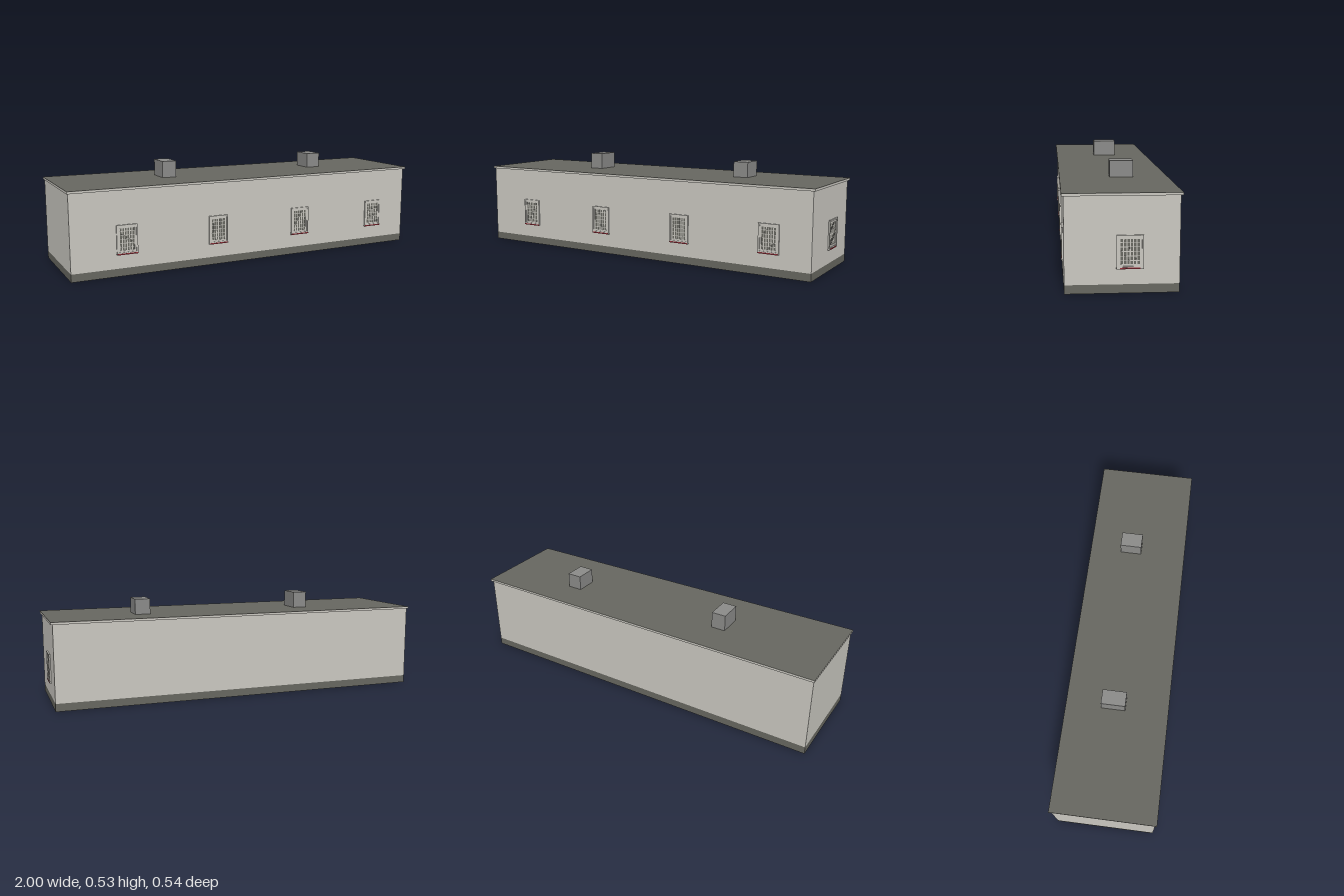
import * as THREE from 'three';

const mat = (name, color, side = THREE.FrontSide) => {
  const m = new THREE.MeshStandardMaterial({ color, side });
  m.name = name;
  return m;
};

export function createModel() {
  const plaster = mat('plaster', 0xcac8c1, THREE.DoubleSide);
  const darkGrey = mat('darkGrey', 0x676760, THREE.DoubleSide);
  const chimneyGrey = mat('chimneyGrey', 0x8b8b89);
  const red = mat('sillRed', 0x96303a);

  const model = new THREE.Group();
  model.name = 'longBuilding';

  const add = (parent, name, geometry, material, x = 0, y = 0, z = 0) => {
    const mesh = new THREE.Mesh(geometry, material);
    mesh.name = name;
    mesh.position.set(x, y, z);
    parent.add(mesh);
    return mesh;
  };
  const box = (w, h, d) => new THREE.BoxGeometry(w, h, d);

  // Plan corners [x, z]; the front runs slightly askew
  const plan = [[-0.994, 0.262], [0.99, 0.24], [0.99, -0.262], [-0.994, -0.262]];
  const roofPlan = [[-1, 0.271], [1, 0.249], [1, -0.271], [-1, -0.271]];

  // Open band of wall following the plan
  const band = (y0, y1) => {
    const p = [];
    plan.forEach(([ax, az], i) => {
      const [bx, bz] = plan[(i + 1) % plan.length];
      p.push(ax, y0, az, bx, y0, bz, bx, y1, bz, ax, y0, az, bx, y1, bz, ax, y1, az);
    });
    const g = new THREE.BufferGeometry();
    g.setAttribute('position', new THREE.Float32BufferAttribute(p, 3));
    g.computeVertexNormals();
    return g;
  };
  add(model, 'plinth', band(0, 0.04), darkGrey);
  add(model, 'walls', band(0.04, 0.435), plaster);

  // Flat roof slab: dark faces, pale edge
  const roofShape = new THREE.Shape(roofPlan.map(([x, z]) => new THREE.Vector2(x, -z)));
  const roof = new THREE.ExtrudeGeometry(roofShape, { depth: 0.012, bevelEnabled: false });
  roof.rotateX(-Math.PI / 2);
  add(model, 'roof', roof, [darkGrey, plaster], 0, 0.43, 0);

  // Chimneys
  add(model, 'leftmostChimney', box(0.076, 0.088, 0.125), chimneyGrey, -0.402, 0.484, -0.022);
  add(model, 'rightmostChimney', box(0.08, 0.082, 0.114), chimneyGrey, 0.51, 0.481, -0.045);

  // Rectangular frame with an opening
  const frame = (w, h, border, depth) => {
    const rect = (C, a, b) => new C([[-a, -b], [a, -b], [a, b], [-a, b]]
      .map(([x, y]) => new THREE.Vector2(x, y)));
    const s = rect(THREE.Shape, w / 2, h / 2);
    s.holes.push(rect(THREE.Path, w / 2 - border, h / 2 - border));
    return new THREE.ExtrudeGeometry(s, { depth, bevelEnabled: false });
  };

  // Window built facing +z, centred on its own opening
  const makeWindow = (x, z, turn, w, redWidth) => {
    const g = new THREE.Group();
    g.name = 'window';
    const h = 0.145;
    add(g, 'outerFrame', frame(w, h, 0.008, 0.007), plaster);
    add(g, 'innerFrame', frame(w - 0.016, h - 0.016, 0.009, 0.004), plaster);
    const pw = w - 0.033, ph = h - 0.024;
    add(g, 'pane', box(pw, ph, 0.004), darkGrey);
    // Thin grille, showing on both faces of the pane
    for (let i = 1; i <= 5; i++) {
      const t = i / 6 - 0.5;
      add(g, 'uprightBar', box(0.0045, ph, 0.005), plaster, t * pw);
      add(g, 'crossBar', box(pw, 0.003, 0.005), plaster, 0, t * ph);
    }
    // Sill with a red front strip
    add(g, 'sill', box(w + 0.002, 0.006, 0.008), plaster, 0, -h / 2 - 0.001, 0.004);
    add(g, 'sillStrip', box(redWidth, 0.0065, 0.0085), red, 0, -h / 2 - 0.001, 0.0042);
    g.position.set(x, 0.186, z);
    g.rotation.y = turn;
    model.add(g);
  };

  const slope = (plan[0][1] - plan[1][1]) / (plan[1][0] - plan[0][0]);
  for (const x of [-0.711, -0.216, 0.279, 0.774]) {
    makeWindow(x, plan[0][1] - slope * (x - plan[0][0]), Math.atan(slope), 0.108, 0.106);
  }
  makeWindow(0.99, -0.045, Math.PI / 2, 0.118, 0.09);

  return model;
}
